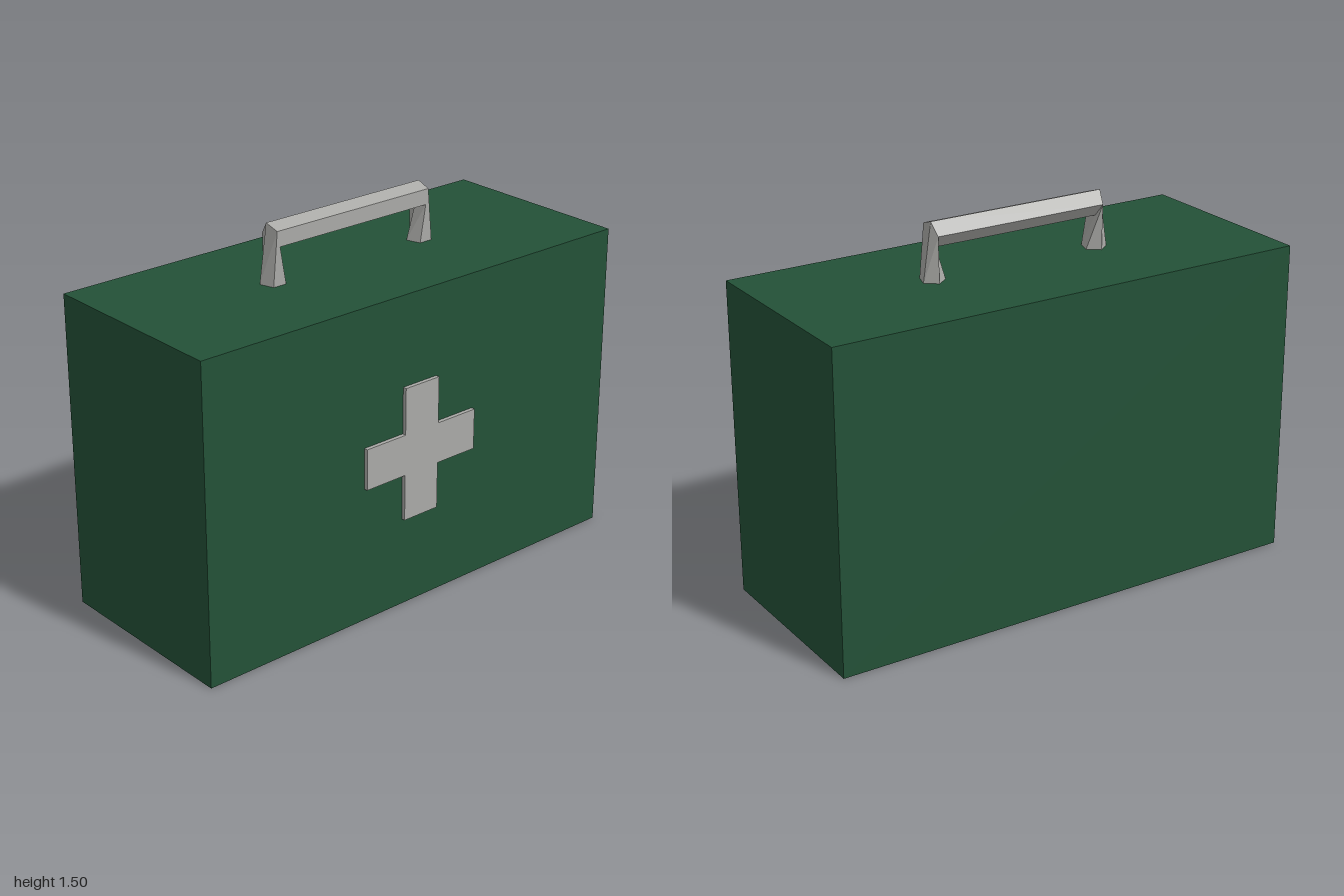
import * as THREE from 'three';

const green = new THREE.MeshStandardMaterial({ color: 0x235137 });
green.name = 'dark green';
const grey = new THREE.MeshStandardMaterial({ color: 0xaaaaa7 });
grey.name = 'light grey';

// Five-sided bar swept through four rings: foot, corner, corner, foot
function handleGeometry() {
  const sides = 5, radius = 0.0525, zCentre = -0.0075;
  // centre x, centre y, and the x/y direction of the section's outer side
  const rings = [
    [-0.362, 1.275, -0.95, 0],
    [-0.365, 1.455, -0.2, 1],
    [0.365, 1.455, 0.2, 1],
    [0.362, 1.275, 0.95, 0],
  ];
  const points = rings.map(([x, y, outX, outY]) =>
    Array.from({ length: sides }, (_, j) => {
      const a = Math.PI / 5 + (j * Math.PI * 2) / sides;
      const out = radius * Math.sin(a);
      return [x + outX * out, y + outY * out, zCentre + radius * Math.cos(a)];
    }));
  const positions = [];
  for (let i = 0; i < rings.length - 1; i++) {
    for (let j = 0; j < sides; j++) {
      const k = (j + 1) % sides;
      const a = points[i][j], b = points[i][k], c = points[i + 1][j], d = points[i + 1][k];
      positions.push(...a, ...c, ...b, ...b, ...c, ...d);
    }
  }
  const geometry = new THREE.BufferGeometry();
  geometry.setAttribute('position', new THREE.Float32BufferAttribute(positions, 3));
  geometry.computeVertexNormals();
  return geometry;
}

// Plus-shaped plate
function crossGeometry() {
  const w = 0.083, h = 0.272, s = new THREE.Shape();
  [[-w, -h], [w, -h], [w, -w], [h, -w], [h, w], [w, w],
    [w, h], [-w, h], [-w, w], [-h, w], [-h, -w], [-w, -w]]
    .forEach(([x, y], i) => (i ? s.lineTo(x, y) : s.moveTo(x, y)));
  return new THREE.ExtrudeGeometry(s, { depth: 0.017, bevelEnabled: false });
}

export function createModel() {
  const group = new THREE.Group();
  group.name = 'firstAidCase';
  const add = (name, geometry, material, x, y, z) => {
    const mesh = new THREE.Mesh(geometry, material);
    mesh.name = name;
    mesh.position.set(x, y, z);
    group.add(mesh);
  };

  add('caseBody', new THREE.BoxGeometry(2, 1.275, 0.816), green, 0, 0.6375, -0.008);
  add('frontCross', crossGeometry(), grey, 0, 0.64, 0.399);
  add('carryHandle', handleGeometry(), grey, 0, 0, 0);
  return group;
}
